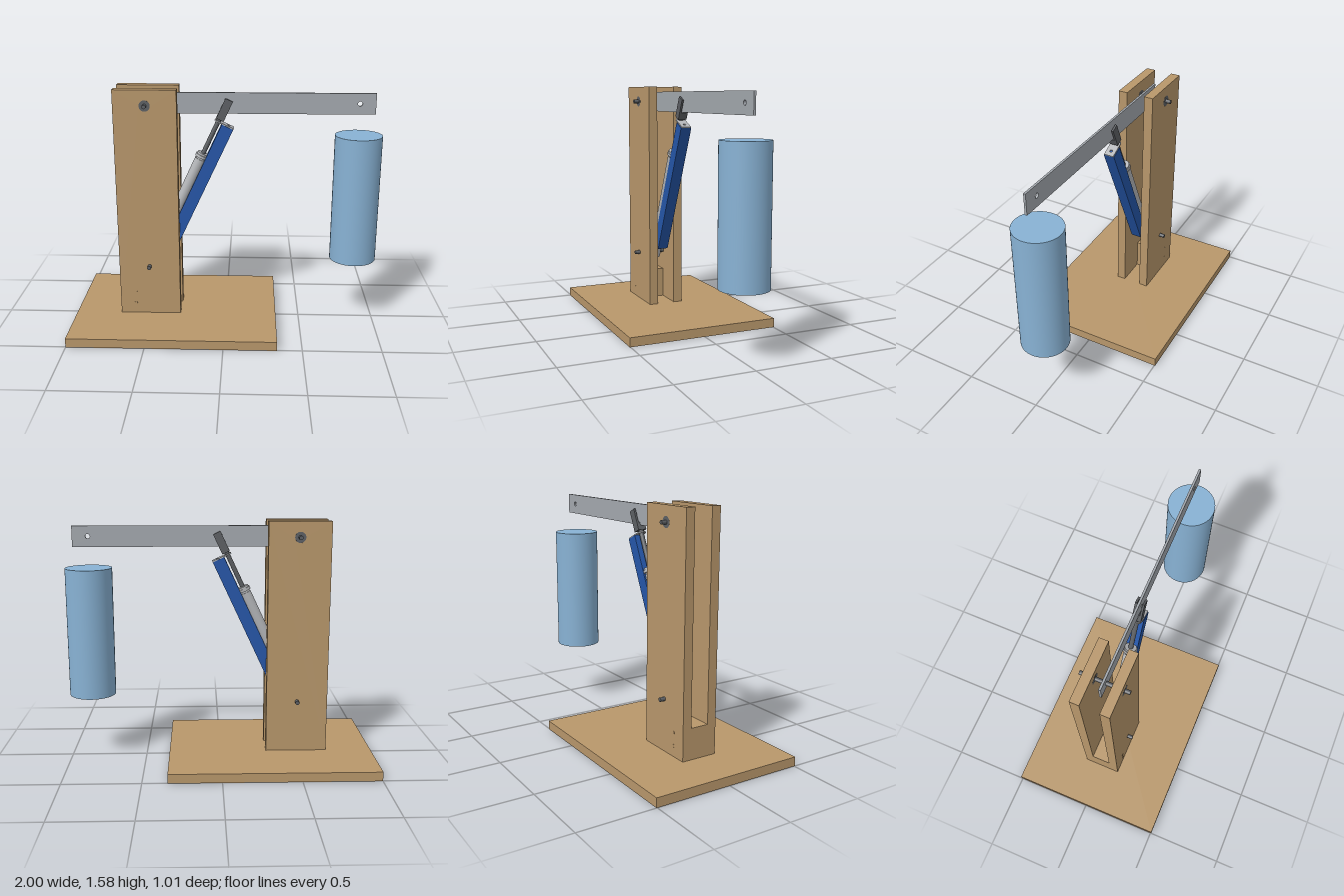
import * as THREE from 'three';

const mat = (color) => new THREE.MeshStandardMaterial({ color });
const wood = mat(0xb8976b), steel = mat(0xa3a8ae), silver = mat(0xb4b6b9);
const dark = mat(0x5c5f63), blue = mat(0x2556a8), weightBlue = mat(0x88b2d4);

function add(parent, name, geometry, material, x = 0, y = 0, z = 0) {
  const mesh = new THREE.Mesh(geometry, material);
  mesh.name = name;
  mesh.position.set(x, y, z);
  parent.add(mesh);
  return mesh;
}

// Box given by its limits on each axis
function box(parent, name, material, [x0, x1], [y0, y1], [z0, z1]) {
  return add(parent, name, new THREE.BoxGeometry(x1 - x0, y1 - y0, z1 - z0), material,
    (x0 + x1) / 2, (y0 + y1) / 2, (z0 + z1) / 2);
}

// Cylinder lying along z, centred on z
function pin(parent, name, material, r, length, x, y, z = 0) {
  const geometry = new THREE.CylinderGeometry(r, r, length, 32).rotateX(Math.PI / 2);
  return add(parent, name, geometry, material, x, y, z);
}

function circleHole(x, y, r) {
  return new THREE.Path().absarc(x, y, r, 0, Math.PI * 2, true);
}

function extrude(shape, depth) {
  return new THREE.ExtrudeGeometry(shape, { depth, bevelEnabled: false, curveSegments: 24 })
    .translate(0, 0, -depth / 2);
}

// Actuator, built upright with its lower pivot at the origin
function createActuator() {
  const g = new THREE.Group();
  g.name = 'actuator';
  const axis = 0.008;

  // Hollow rail beside the tube
  box(g, 'rail', blue, [0.035, 0.115], [0.1, 1.055], [-0.036, 0.036]);

  // Tube body with foot and collar; each pair is radius, height
  const outline = [[0, -0.035], [0.03, -0.035], [0.036, -0.03], [0.036, 0.07], [0.042, 0.07],
    [0.042, 0.1], [0.037, 0.1], [0.037, 0.785], [0.032, 0.785], [0.032, 0.797], [0.043, 0.797],
    [0.043, 0.815], [0.037, 0.815], [0.037, 0.828], [0, 0.828]];
  const points = [];
  outline.forEach(([r, y], i) => {
    // Doubled points keep the steps sharp
    points.push(new THREE.Vector2(r, y));
    if (i > 0 && i < outline.length - 1) points.push(new THREE.Vector2(r, y));
  });
  add(g, 'tube', new THREE.LatheGeometry(points, 40), silver, axis);

  // Sliding rod
  add(g, 'rod', new THREE.CylinderGeometry(0.015, 0.015, 0.28, 24), dark, axis, 0.95);

  // Guide plate on the rail end, rounded around the rod
  const plate = new THREE.Shape();
  plate.moveTo(0.115, 0.032);
  plate.lineTo(0.015, 0.032);
  plate.absarc(0.015, 0, 0.032, Math.PI / 2, Math.PI * 1.5, false);
  plate.lineTo(0.115, -0.032);
  plate.closePath();
  plate.holes.push(circleHole(axis, 0, 0.018), circleHole(0.08, 0, 0.009));
  add(g, 'guidePlate', extrude(plate, 0.008).rotateX(-Math.PI / 2), silver, 0, 1.059);

  // Fork that straddles the arm, extruded across the rail direction
  const fork = new THREE.Shape([[-0.029, 1.075], [0.029, 1.075], [0.029, 1.215], [0.016, 1.215],
    [0.016, 1.125], [-0.016, 1.125], [-0.016, 1.215], [-0.029, 1.215]]
    .map(([x, y]) => new THREE.Vector2(x, y)));
  add(g, 'fork', extrude(fork, 0.052).rotateY(Math.PI / 2), dark, axis + 0.004);
  pin(g, 'forkPin', dark, 0.01, 0.054, axis, 1.186);
  return g;
}

export function createModel() {
  const model = new THREE.Group();
  model.name = 'leverStand';

  // Wooden stand
  box(model, 'base', wood, [-1, 0.34], [0, 0.06], [-0.505, 0.505]);
  box(model, 'spacerBlock', wood, [-0.7, -0.5], [0.06, 0.263], [-0.06, 0.06]);
  for (const side of [-1, 1]) {
    const post = new THREE.Shape();
    post.moveTo(-0.7, 0.06);
    post.lineTo(-0.3, 0.06);
    post.lineTo(-0.3, 1.575);
    post.lineTo(-0.7, 1.575);
    post.closePath();
    post.holes.push(circleHole(-0.5, 1.475, 0.035));
    add(model, 'post', extrude(post, 0.06), wood, 0, 0, side * 0.09);
    pin(model, 'bushing', dark, 0.035, 0.061, -0.5, 1.475, side * 0.09);
    for (const y of [0.13, 0.215]) pin(model, 'screw', wood, 0.01, 0.03, -0.6, y, side * 0.1065);
  }

  // Pivot pins
  pin(model, 'upperPin', dark, 0.013, 0.31, -0.5, 1.475);
  pin(model, 'lowerPin', dark, 0.013, 0.31, -0.5, 0.4);

  // Lever arm with end hole
  const arm = new THREE.Shape();
  arm.moveTo(-0.57, 1.407);
  arm.lineTo(0.945, 1.407);
  arm.lineTo(0.945, 1.541);
  arm.lineTo(-0.57, 1.541);
  arm.closePath();
  arm.holes.push(circleHole(0.845, 1.475, 0.015));
  add(model, 'arm', extrude(arm, 0.014), steel);

  // Hanging weight
  add(model, 'weight', new THREE.CylinderGeometry(0.151, 0.151, 0.84, 64), weightBlue, 0.848, 0.853, 0);

  // Actuator leaning from the lower pin to the arm
  const actuator = createActuator();
  actuator.position.set(-0.5, 0.4, 0);
  actuator.rotation.z = -Math.atan2(0.5, 1.075);
  model.add(actuator);
  return model;
}
